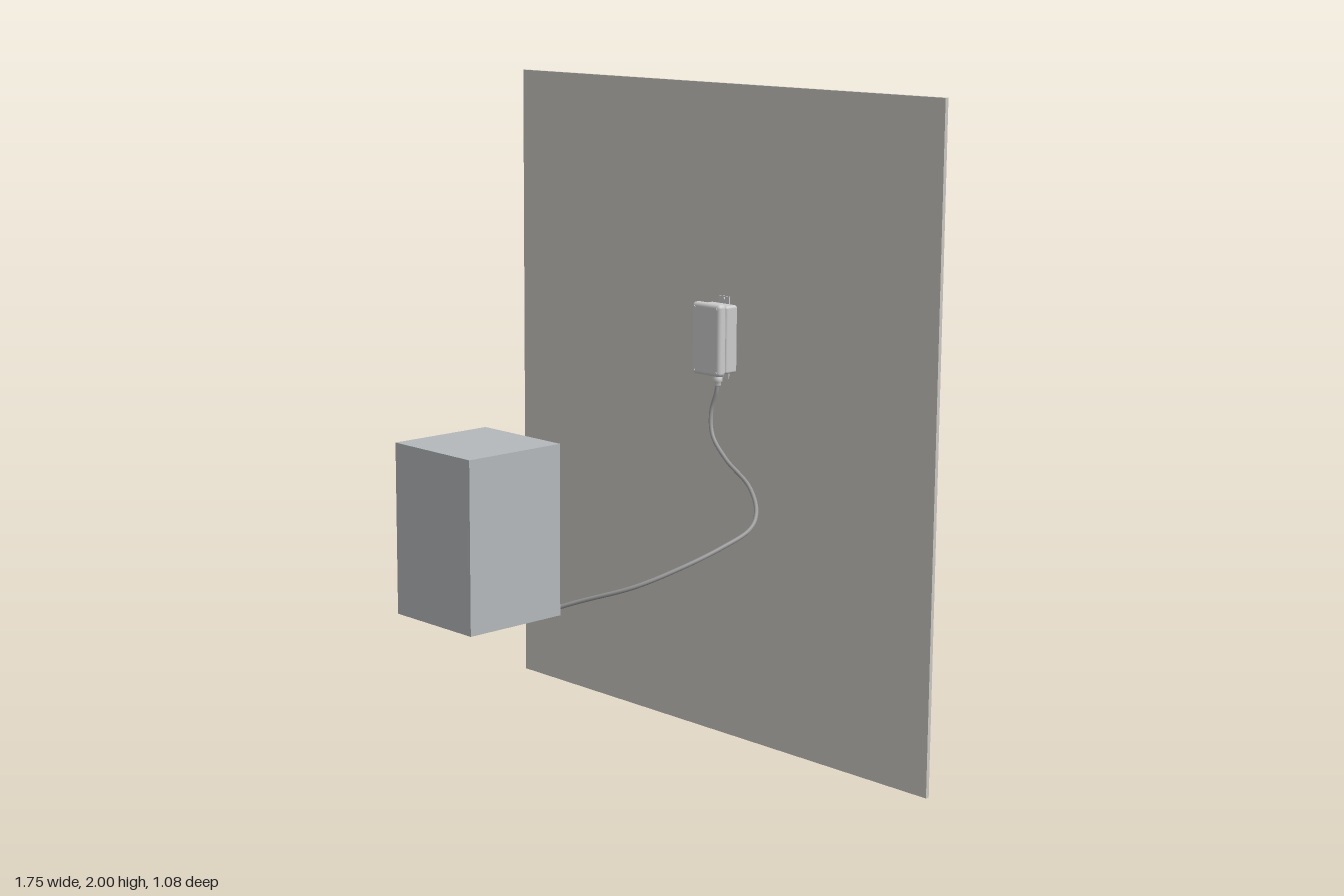
import * as THREE from 'three';
import { RoundedBoxGeometry } from 'three/addons/geometries/RoundedBoxGeometry.js';

const grey = new THREE.MeshStandardMaterial({ color: 0xcccccc });
const wallGrey = new THREE.MeshStandardMaterial({ color: 0xc9c8c0 });
const boxGrey = new THREE.MeshStandardMaterial({ color: 0xb4b8bc });
const cableGrey = new THREE.MeshStandardMaterial({ color: 0x999999 });

export function createModel() {
  const model = new THREE.Group();

  const add = (name, geometry, x, y, z, material = grey, parent = model) => {
    const mesh = new THREE.Mesh(geometry, material);
    mesh.name = name;
    mesh.position.set(x, y, z);
    parent.add(mesh);
    return mesh;
  };
  const box = (w, h, d) => new THREE.BoxGeometry(w, h, d);
  const rounded = (w, h, d, r) => new RoundedBoxGeometry(w, h, d, 4, r);

  // Wall panel and the large block in front of it
  add('wall', box(1.75, 2, 0.012), 0, 1, -0.534, wallGrey);
  add('equipmentBlock', box(0.325, 0.5, 0.332), -0.04, 0.778, 0.373, boxGrey);

  // Small wall-mounted enclosure
  const enclosure = new THREE.Group();
  enclosure.name = 'enclosure';
  model.add(enclosure);
  const part = (name, geometry, x, y, z) => add(name, geometry, x, y, z, grey, enclosure);
  part('enclosureBody', rounded(0.108, 0.205, 0.05, 0.008), 0.048, 1.243, -0.5);
  part('seal', box(0.1, 0.195, 0.012), 0.048, 1.243, -0.474);
  part('enclosureCover', rounded(0.118, 0.218, 0.032, 0.012), 0.048, 1.244, -0.457);

  // Hinges along one edge, screws in the corners, mounting tabs above and below
  for (const side of [-1, 1]) {
    const y = 1.243 + side * 0.068;
    part('hinge', new THREE.CylinderGeometry(0.006, 0.006, 0.035, 16), -0.013, y, -0.462);
    part('hingeLeaf', box(0.01, 0.03, 0.03), -0.009, y, -0.475);
    part('mountingTab', box(0.045, 0.026, 0.004), 0.048, 1.243 + side * 0.112, -0.521);
    const tabScrew = part('tabScrew', new THREE.CylinderGeometry(0.005, 0.005, 0.006, 16), 0.048, 1.243 + side * 0.117, -0.518);
    tabScrew.rotation.x = Math.PI / 2;
    for (const s of [-1, 1]) {
      const screw = part('coverScrew', new THREE.CylinderGeometry(0.004, 0.004, 0.004, 16), 0.048 + s * 0.046, 1.243 + side * 0.096, -0.4405);
      screw.rotation.x = Math.PI / 2;
    }
  }

  // Cable gland under the enclosure
  const glandProfile = [[0, 0], [0.009, 0], [0.011, 0.006], [0.011, 0.014], [0.015, 0.016], [0.015, 0.028], [0.01, 0.03], [0.01, 0.05], [0, 0.05]];
  part('cableGland', new THREE.LatheGeometry(glandProfile.map(p => new THREE.Vector2(...p)), 20), 0.048, 1.095, -0.496);

  // Hanging cable
  const path = new THREE.CatmullRomCurve3([
    [0.048, 1.13, -0.496], [0.045, 1.08, -0.495], [0.031, 1.02, -0.488], [0.05, 0.95, -0.474],
    [0.12, 0.888, -0.461], [0.24, 0.825, -0.44], [0.318, 0.768, -0.39], [0.341, 0.73, -0.34],
    [0.325, 0.687, -0.235], [0.28, 0.64, -0.12], [0.2, 0.587, -0.01], [0.05, 0.528, 0.085],
    [-0.15, 0.44, 0.205],
  ].map(p => new THREE.Vector3(...p)));
  add('cable', new THREE.TubeGeometry(path, 120, 0.0065, 10), 0, 0, 0, cableGrey);

  // Plug on the cable end
  const plug = add('plug', new THREE.CylinderGeometry(0.012, 0.01, 0.032, 16), -0.155, 0.44, 0.222, cableGrey);
  plug.rotation.x = Math.PI / 2;

  // Thin slanted strip hanging from the block to the plug
  const strip = add('strip', box(0.011, 0.13, 0.005), -0.123, 0.492, 0.268, cableGrey);
  strip.rotation.z = -0.53;

  return model;
}
